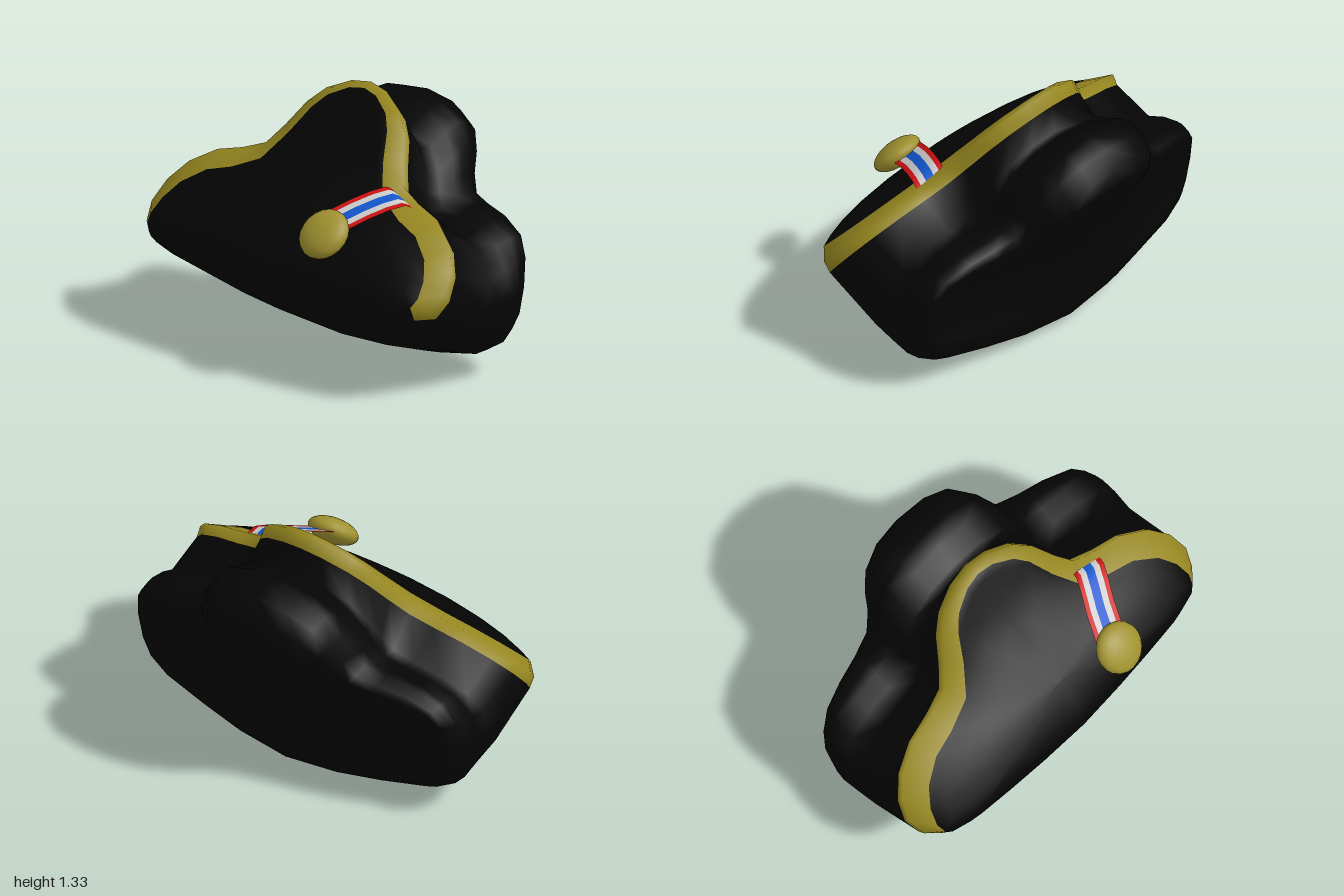
import * as THREE from 'three';

// Right half of the bell outline, bottom centre to top centre: x and height on the front flap, x and height on the back flap
const BELL = [
  [0, 0, 0, 0], [0.3, 0.003, 0.3, 0.015], [0.55, 0.008, 0.55, 0.045], [0.77, 0.018, 0.8, 0.09], [0.9, 0.045, 0.92, 0.15],
  [0.97, 0.1, 0.98, 0.24], [1, 0.19, 1, 0.37], [0.97, 0.3, 0.975, 0.5], [0.89, 0.405, 0.9, 0.59], [0.75, 0.495, 0.75, 0.642],
  [0.6, 0.54, 0.6, 0.662], [0.47, 0.595, 0.49, 0.682], [0.4, 0.7, 0.45, 0.735], [0.33, 0.83, 0.41, 0.825], [0.25, 0.915, 0.33, 0.92],
  [0.12, 0.98, 0.18, 0.982], [0, 1, 0, 1],
];

// Cross-sections, front to back: bottom z,y  top z,y  inset  forward sweep of the sides  hollow  front-to-back blend
const SLICES = [
  [0.61, 0.47, -0.10, 1.31, 0.088, -0.14, 0, 0],
  [0.56, 0.42, -0.15, 1.33, 0, -0.14, 0, 0],
  [0.50, 0.375, -0.19, 1.27, 0, -0.07, 0, 0],
  [0.20, 0.13, -0.215, 1.13, 0.005, 0, 0, 0.65],
  [0.06, 0.05, -0.26, 1.135, 0, 0.05, 0, 1],
  [-0.07, 0.005, -0.37, 1.195, 0, 0.15, 0, 1],
  [-0.20, 0, -0.46, 1.22, 0.01, 0.32, 0.01, 1],
  [-0.32, 0.06, -0.56, 1.185, 0.03, 0.42, 0.03, 1],
  [-0.40, 0.16, -0.635, 1.11, 0.06, 0.53, 0.05, 1],
  [-0.415, 0.2, -0.66, 1.03, 0.11, 0.58, 0.07, 1],
];
const HALF = BELL.length - 1, N = HALF * 2;

// Closed outline of a slice, counter-clockwise from the front, inset along its normals
function outline(inset, blend) {
  const half = BELL.map(([fx, fy, bx, by]) => new THREE.Vector2(fx, fy).lerp(new THREE.Vector2(bx, by), blend));
  const pts = half.concat(half.slice(1, -1).reverse().map(p => new THREE.Vector2(-p.x, p.y)));
  const out = pts.map((p, j) => {
    const t = pts[(j + 1) % N].clone().sub(pts[(j + N - 1) % N]).normalize();
    return new THREE.Vector2(p.x - t.y * inset, p.y + t.x * inset);
  });
  const lo = out[0].y, hi = out[HALF].y;
  out.forEach(p => { p.y = (p.y - lo) / (hi - lo); });
  return out;
}

// One ring in space; s shrinks it toward its middle for the caps, belly swells its lower part forward
function ring([bz, by, tz, ty, inset, sweep, hollow, blend], s = 1, belly = 0) {
  const c = 0.38;
  return outline(inset, blend).map(p => {
    const x = p.x * s, v = c + (p.y - c) * s;
    const side = x * x / (x * x + 0.35) * (1 - v) * (0.3 + 1.3 * v);
    const swell = belly * (1 - s ** 4) * (1 - THREE.MathUtils.smoothstep(v, 0.28, 0.75));
    return [x, by + (ty - by) * v, bz + (tz - bz) * v + sweep * side + hollow * 4 * v * (1 - v) + swell];
  });
}

function hatGeometries() {
  const front = SLICES[0], back = SLICES[SLICES.length - 1];
  const rings = [
    ...[0, 0.2, 0.45, 0.65, 0.8, 0.92].map(s => ring(front, s, 0.135)),
    ...SLICES.map(s => ring(s)),
    ...[0.9, 0.75, 0.5, 0.25, 0].map(s => ring(back, s)),
  ];
  const rim = 6; // ring where the flap edge begins
  const felt = [], trim = [];
  for (let i = 0; i < rings.length - 1; i++) {
    for (let j = 0; j < N; j++) {
      const k = (j + 1) % N, a = i * N + j, b = i * N + k, d = a + N, c = b + N;
      // diagonals mirror left to right so the gold edge tapers to a point on both sides
      const [t0, t1] = (j < HALF) === (i === rim + 1) ? [[a, d, c], [a, c, b]] : [[a, d, b], [b, d, c]];
      const onRim = i === rim || i === rim + 1;
      (onRim && j >= 5 && j <= N - 5 ? trim : felt).push(...t0);
      (onRim && j >= 4 && j <= N - 6 ? trim : felt).push(...t1);
    }
  }
  const whole = new THREE.BufferGeometry();
  whole.setAttribute('position', new THREE.Float32BufferAttribute(rings.flat(2), 3));
  whole.setIndex(felt.concat(trim));
  whole.computeVertexNormals();
  return [felt, trim].map(index => {
    const g = new THREE.BufferGeometry();
    g.setAttribute('position', whole.attributes.position);
    g.setAttribute('normal', whole.attributes.normal);
    g.setIndex(index);
    return g;
  });
}

// A strip of ribbon between two offsets across its width
function stripe(path, across, from, to) {
  const pos = [], index = [];
  path.forEach((p, i) => {
    for (const w of [from, to]) pos.push(...p.clone().addScaledVector(across, w).toArray());
    if (i) { const k = i * 2; index.push(k - 2, k, k - 1, k - 1, k, k + 1); }
  });
  const g = new THREE.BufferGeometry();
  g.setAttribute('position', new THREE.Float32BufferAttribute(pos, 3));
  g.setIndex(index);
  g.computeVertexNormals();
  return g;
}

export function createModel() {
  const group = new THREE.Group();
  const add = (name, geometry, color, side = THREE.FrontSide) => {
    const mesh = new THREE.Mesh(geometry, new THREE.MeshStandardMaterial({ color, side }));
    mesh.name = name;
    group.add(mesh);
    return mesh;
  };

  // Folded hat body and its gold edge
  const [felt, trim] = hatGeometries();
  add('hatBody', felt, 0x040404);
  add('goldTrim', trim, 0x968720);

  // Striped ribbon hanging over the front flap
  const path = [[0.51, 0.915, 0.15], [0.495, 0.94, 0.2], [0.455, 0.925, 0.27], [0.40, 0.89, 0.36], [0.34, 0.84, 0.48]]
    .map(p => new THREE.Vector3(...p));
  const across = new THREE.Vector3(0.16, -0.05, 0.03).normalize();
  const edges = [-0.088, -0.06, -0.025, 0.025, 0.06, 0.088];
  [0xcc1111, 0xcccccc, 0x1155cc, 0xcccccc, 0xcc1111].forEach((color, i) =>
    add('ribbonStripe', stripe(path, across, edges[i], edges[i + 1]), color, THREE.DoubleSide));

  // Rounded medal at the end of the ribbon
  const medal = add('medal', new THREE.SphereGeometry(1, 20, 12), 0xa09230);
  medal.scale.set(0.132, 0.065, 0.138);
  medal.position.set(0.335, 0.792, 0.548);
  medal.quaternion.setFromUnitVectors(new THREE.Vector3(0, 1, 0), new THREE.Vector3(0.1, 0.7, 0.7).normalize());
  return group;
}
